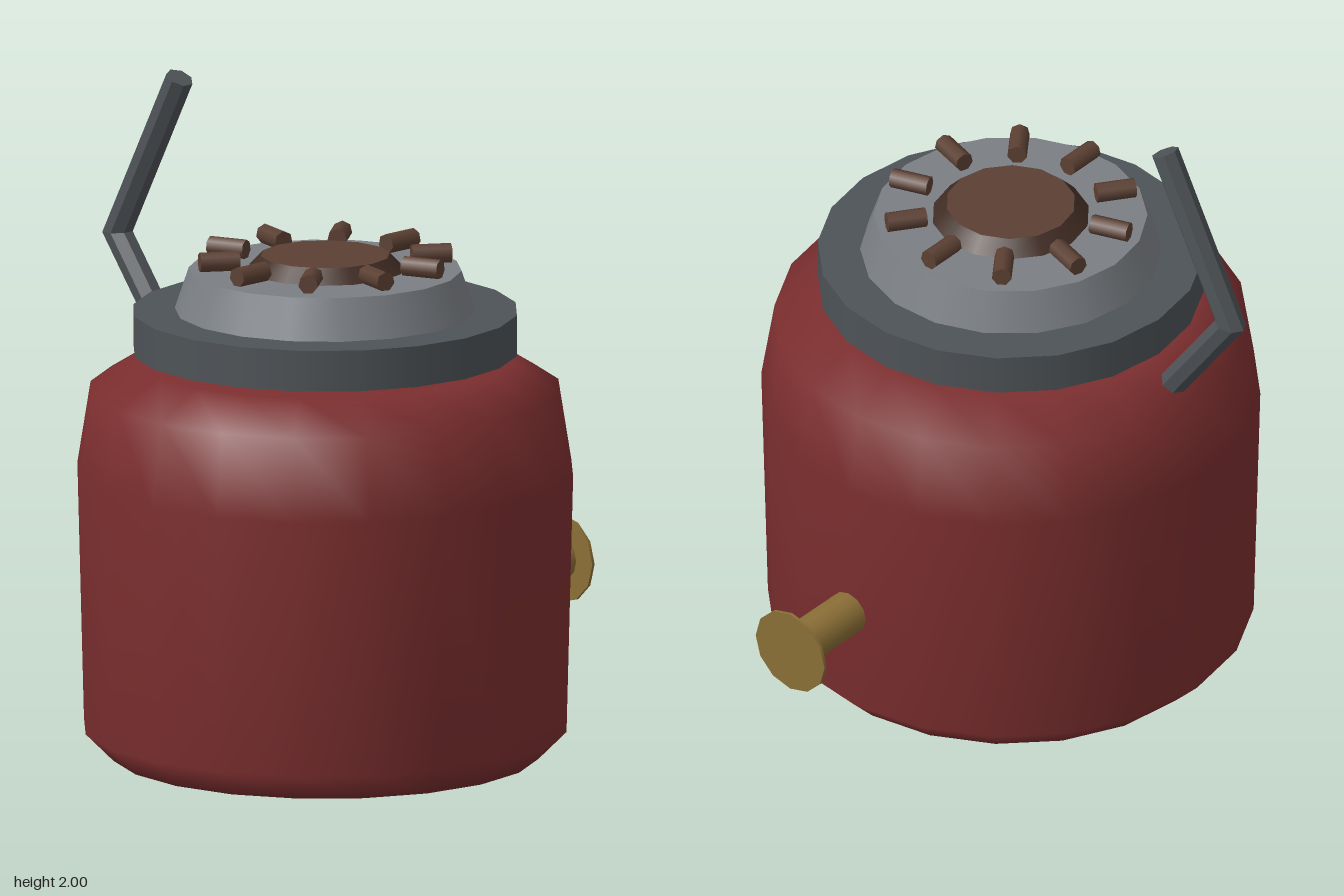
import * as THREE from 'three';

const mat = (name, color) => {
  const m = new THREE.MeshStandardMaterial({ color });
  m.name = name;
  return m;
};

// Straight bars joined by mitred corners, lying in the yz plane; points are [y, z]
function bentBar(points, radius, sides) {
  const pts = points.map(([y, z]) => new THREE.Vector3(0, y, z));
  const side = new THREE.Vector3(1, 0, 0);
  const dirs = pts.slice(1).map((p, i) => p.clone().sub(pts[i]).normalize());
  const rings = pts.map((p, i) => {
    const a = dirs[Math.max(i - 1, 0)], b = dirs[Math.min(i, dirs.length - 1)];
    const tangent = a.clone().add(b).normalize();
    const out = side.clone().cross(tangent);
    const stretch = radius / tangent.dot(a);
    return Array.from({ length: sides }, (_, k) => {
      const t = (k / sides) * Math.PI * 2;
      return p.clone().addScaledVector(out, -Math.cos(t) * stretch)
        .addScaledVector(side, Math.sin(t) * radius);
    });
  });
  const tris = [];
  for (let k = 0; k < sides; k++) {
    const n = (k + 1) % sides;
    for (let i = 0; i < rings.length - 1; i++) {
      const [a, b, c, d] = [rings[i][k], rings[i][n], rings[i + 1][n], rings[i + 1][k]];
      tris.push(a, c, b, a, d, c);
    }
    const last = rings.length - 1;
    tris.push(pts[0], rings[0][k], rings[0][n], pts[last], rings[last][n], rings[last][k]);
  }
  // Make the faces point outwards whichever way the bar runs
  const probe = tris[1].clone().sub(tris[0]).cross(tris[2].clone().sub(tris[0]));
  const outward = tris[0].clone().add(tris[2]).multiplyScalar(0.5).sub(pts[0]);
  if (probe.dot(outward) < 0) {
    for (let i = 0; i < tris.length; i += 3) [tris[i + 1], tris[i + 2]] = [tris[i + 2], tris[i + 1]];
  }
  const g = new THREE.BufferGeometry().setFromPoints(tris);
  g.computeVertexNormals();
  return g;
}

export function createModel() {
  const red = mat('red enamel', 0x7c2e2f);
  const darkGrey = mat('dark grey metal', 0x4e5357);
  const lightGrey = mat('light grey metal', 0x7b7f84);
  const brown = mat('brown', 0x5c4033);
  const darkBrown = mat('dark brown', 0x402c23);
  const brass = mat('brass', 0x8b6f36);

  const model = new THREE.Group();
  const core = new THREE.Group();
  core.name = 'canister';
  core.position.set(-0.14, 0, 0.08);
  model.add(core);

  const add = (name, geometry, material, x = 0, y = 0, z = 0, parent = core) => {
    const mesh = new THREE.Mesh(geometry, material);
    mesh.name = name;
    mesh.position.set(x, y, z);
    parent.add(mesh);
    return mesh;
  };

  // Tank
  const profile = [[0, 0], [0.645, 0], [0.73, 0.085], [0.75, 0.87], [0.71, 1.12], [0.565, 1.21], [0, 1.23]]
    .map(([r, y]) => new THREE.Vector2(r, y));
  add('tank', new THREE.LatheGeometry(profile, 20), red);

  // Burner stack
  add('collar', new THREE.CylinderGeometry(0.58, 0.58, 0.125, 20), darkGrey, 0, 1.2975);
  add('burnerHead', new THREE.CylinderGeometry(0.41, 0.452, 0.125, 18), lightGrey, 0, 1.4225);
  add('burnerCap', new THREE.CylinderGeometry(0.195, 0.238, 0.045, 14), [darkBrown, brown, darkBrown], 0, 1.5075);

  // Ring of small radial pegs
  for (let i = 0; i < 10; i++) {
    const peg = new THREE.Group();
    peg.name = 'peg' + (i + 1);
    peg.rotation.y = (i / 10) * Math.PI * 2;
    core.add(peg);
    const g = new THREE.CylinderGeometry(0.03, 0.03, 0.12, 7)
      .rotateY(Math.PI / 2).rotateZ(Math.PI / 2);
    add('pegBar', g, brown, 0.323, 1.52, 0, peg);
  }

  // Side valve
  add('valveStem', new THREE.CylinderGeometry(0.068, 0.068, 0.265, 12).rotateZ(-Math.PI / 2), brass, 0.8875, 0.435);
  add('valveDisc', new THREE.CylinderGeometry(0.135, 0.135, 0.01, 12).rotateZ(-Math.PI / 2), brass, 1.022, 0.435);

  // Bent handle at the back
  add('handle', bentBar([[1.12, -0.61], [1.47, -0.862], [1.98, -0.604]], 0.043, 7), darkGrey);

  return model;
}
